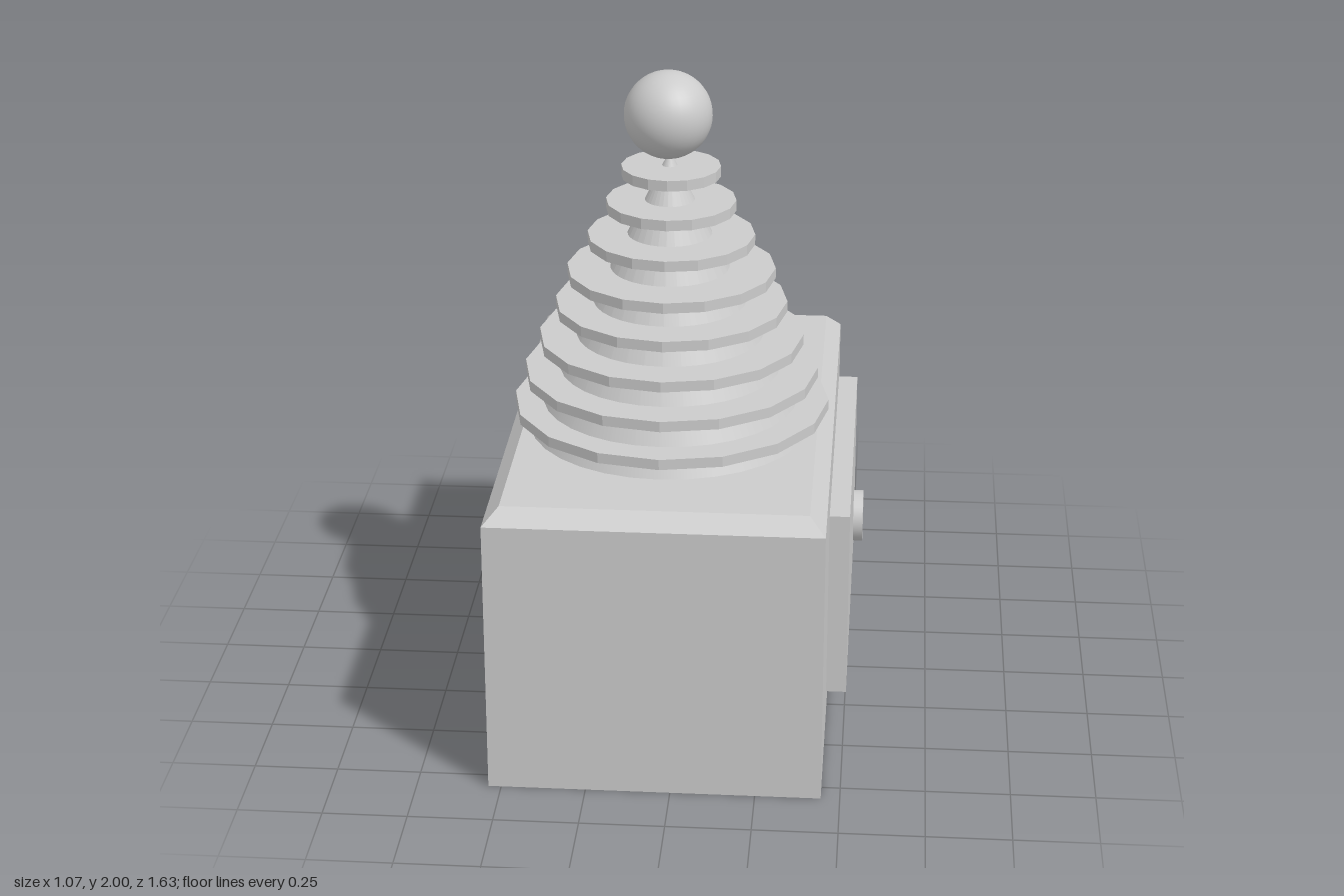
import * as THREE from 'three';

const material = new THREE.MeshStandardMaterial({ color: 0xcccccc });
const flatMaterial = new THREE.MeshStandardMaterial({ color: 0xcccccc, flatShading: true });

function addPart(parent, name, geometry, x, y, z, mat = material) {
  const mesh = new THREE.Mesh(geometry, mat);
  mesh.name = name;
  mesh.position.set(x, y, z);
  parent.add(mesh);
  return mesh;
}

// Box standing on y = 0 whose top edges are chamfered
function chamferedBox(width, height, depth, chamfer) {
  const geometry = new THREE.BoxGeometry(width, height, depth, 1, 2, 1);
  const p = geometry.attributes.position;
  for (let i = 0; i < p.count; i++) {
    const y = p.getY(i);
    if (y > 0.01) {
      p.setXYZ(i, p.getX(i) - Math.sign(p.getX(i)) * chamfer, height,
        p.getZ(i) - Math.sign(p.getZ(i)) * chamfer);
    } else {
      p.setY(i, y < -0.01 ? 0 : height - chamfer);
    }
  }
  const flat = geometry.toNonIndexed();
  flat.computeVertexNormals();
  return flat;
}

export function createModel() {
  const model = new THREE.Group();
  model.name = 'cabinetWithRingedCone';

  // Cabinet body
  addPart(model, 'cabinet', chamferedBox(0.982, 0.895, 1.626, 0.047), -0.047, 0, 0);

  // Side door and its round knob
  addPart(model, 'door', new THREE.BoxGeometry(0.07, 0.595, 1.077), 0.47, 0.3925, -0.2);
  const knob = addPart(model, 'knob', new THREE.CylinderGeometry(0.084, 0.084, 0.04, 32), 0.516, 0.257, -0.578);
  knob.rotation.z = -Math.PI / 2;

  // Cone, its stacked discs and the ball on top
  const tower = new THREE.Group();
  tower.name = 'tower';
  tower.position.set(-0.05, 0, 0.129);
  model.add(tower);
  addPart(tower, 'cone', new THREE.ConeGeometry(0.426, 0.865, 32), 0, 0.895 + 0.4325, 0);
  [0.475, 0.442, 0.397, 0.347, 0.311, 0.249, 0.193, 0.147].forEach((radius, i) => {
    addPart(tower, `disc${i + 1}`, new THREE.CylinderGeometry(radius, radius, 0.032, 16),
      0.004, 0.964 + i * 0.105, 0, flatMaterial);
  });
  addPart(tower, 'ball', new THREE.SphereGeometry(0.13, 32, 24), -0.004, 1.87, 0);

  return model;
}
